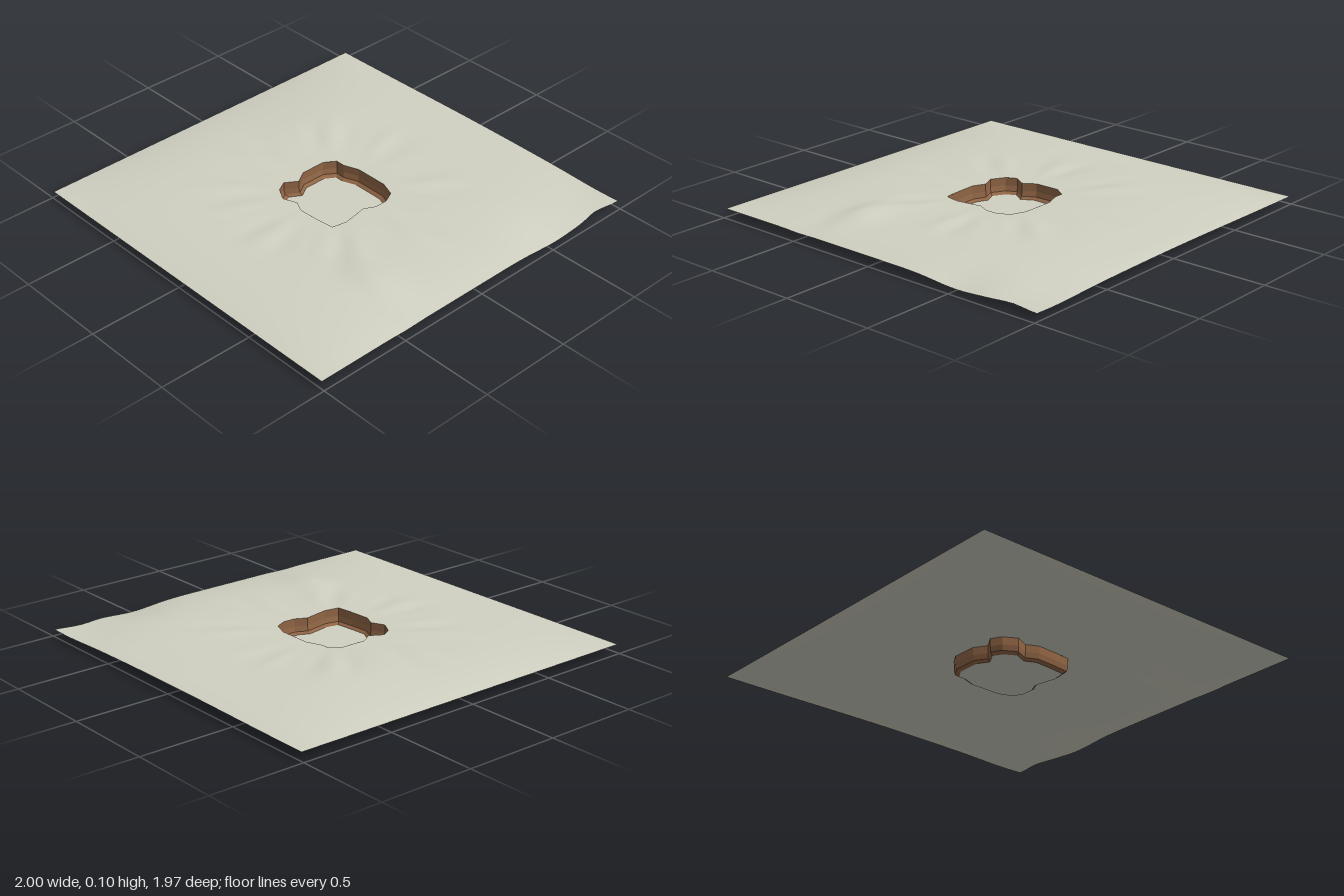
import * as THREE from 'three';

// Rim of the pit, as x, z corners running clockwise seen from above
const RIM = [
  [-0.2, -0.19], [-0.145, -0.22], [-0.08, -0.18], [-0.016, -0.22], [0.12, -0.22], [0.18, -0.18],
  [0.18, -0.13], [0.21, -0.05], [0.21, 0.13], [0.18, 0.21], [0.12, 0.24], [0.05, 0.24],
  [-0.01, 0.21], [-0.145, 0.235], [-0.225, 0.22], [-0.235, 0.12], [-0.24, 0.015],
  [-0.21, -0.05], [-0.24, -0.12],
];
const CX = -0.02, CZ = 0.01, HALF_X = 1, HALF_Z = 0.985;
const STEPS = 8, RINGS = 44;

const bump = (x, z, bx, bz, wx, wz) => Math.exp(-(((x - bx) / wx) ** 2) - ((z - bz) / wz) ** 2);

// Ground height: a low swell, radial wrinkles round the pit and a few folds
function height(x, z) {
  const r = Math.hypot(x, z), a = Math.atan2(z, x);
  const swell = (1 - Math.abs(x) ** 4.5) * (1 - Math.min(1, Math.abs(z / HALF_Z)) ** 4.5);
  const wrinkle = (Math.sin(a * 13) + 0.6 * Math.sin(a * 21 + 1)) * Math.exp(-(((r - 0.5) / 0.13) ** 2));
  return 0.044 + 0.041 * swell + 0.0028 * wrinkle
    - 0.006 * Math.exp(-((r / 0.35) ** 2))
    + 0.019 * bump(x, z, -0.37, 0.65, 0.09, 0.17)
    - 0.005 * bump(x, z, -0.47, 0.85, 0.06, 0.25)
    - 0.018 * bump(x, z, 0.53, 1, 0.17, 0.2)
    - 0.01 * bump(x, z, 0.9, 0.85, 0.2, 0.2)
    + 0.007 * bump(x, z, 0.3, -0.5, 0.25, 0.2)
    + 0.008 * bump(x, z, 1, 0, 0.12, 0.6);
}

// Joins closed rings of [x, y, z] points, from the inner or lower ring outwards
function loft(rings) {
  const n = rings[0].length, index = [];
  for (let i = 0; i < rings.length - 1; i++) {
    for (let j = 0; j < n; j++) {
      const k = (j + 1) % n, a = i * n + j, b = i * n + k, c = a + n, d = b + n;
      index.push(a, b, d, a, d, c);
    }
  }
  const g = new THREE.BufferGeometry();
  g.setAttribute('position', new THREE.Float32BufferAttribute(rings.flat(2), 3));
  g.setIndex(index);
  g.computeVertexNormals();
  return g;
}

// Rim scaled about its middle at a fixed height
const pitRing = (scale, y) => RIM.map(([x, z]) => [CX + (x - CX) * scale, y, CZ + (z - CZ) * scale]);

function sheetGeometry() {
  // Finely divided rim
  const inner = RIM.flatMap(([x, z], i) => {
    const [nx, nz] = RIM[(i + 1) % RIM.length];
    return Array.from({ length: STEPS }, (_, s) => [x + (nx - x) * s / STEPS, z + (nz - z) * s / STEPS]);
  });
  // Rays from the middle to the square border
  const outer = inner.map(([x, z]) => {
    const dx = x - CX, dz = z - CZ;
    const t = Math.min((Math.sign(dx) * HALF_X - CX) / (dx || 1e-9), (Math.sign(dz) * HALF_Z - CZ) / (dz || 1e-9));
    return [CX + dx * t, CZ + dz * t];
  });
  // The nearest ray snaps to each corner
  for (const sx of [-HALF_X, HALF_X]) for (const sz of [-HALF_Z, HALF_Z]) {
    let best = 0;
    const dist = ([x, z]) => Math.hypot(x - sx, z - sz);
    outer.forEach((p, i) => { if (dist(p) < dist(outer[best])) best = i; });
    outer[best] = [sx, sz];
  }
  const rings = [];
  for (let i = 0; i <= RINGS; i++) {
    const t = i / RINGS;
    rings.push(inner.map(([x, z], j) => {
      const px = x + (outer[j][0] - x) * t, pz = z + (outer[j][1] - z) * t;
      // Small pull in the front hem near the left corner
      const hem = 0.022 * bump(px, pz, 0.85, HALF_Z, 0.09, 0.12);
      return [px, height(px, pz), pz - hem];
    }));
  }
  return loft(rings);
}

export function createModel() {
  const group = new THREE.Group();
  const ground = new THREE.MeshStandardMaterial({ color: 0xd0d0c2, side: THREE.DoubleSide });
  const earth = new THREE.MeshStandardMaterial({ color: 0x8f6444, side: THREE.DoubleSide, flatShading: true });
  const add = (name, geometry, material) => {
    const mesh = new THREE.Mesh(geometry, material);
    mesh.name = name;
    group.add(mesh);
  };

  add('groundSheet', sheetGeometry(), ground);

  // Wall drops from the rim and turns in at the foot
  const top = RIM.map(([x, z]) => [x, height(x, z), z]);
  add('pitWall', loft([pitRing(0.9, 0), pitRing(0.975, 0.012), pitRing(1, 0.04), top]), earth);

  // Flat floor closing the pit
  add('pitFloor', loft([pitRing(0, 0), pitRing(0.9, 0)]), ground);
  return group;
}
